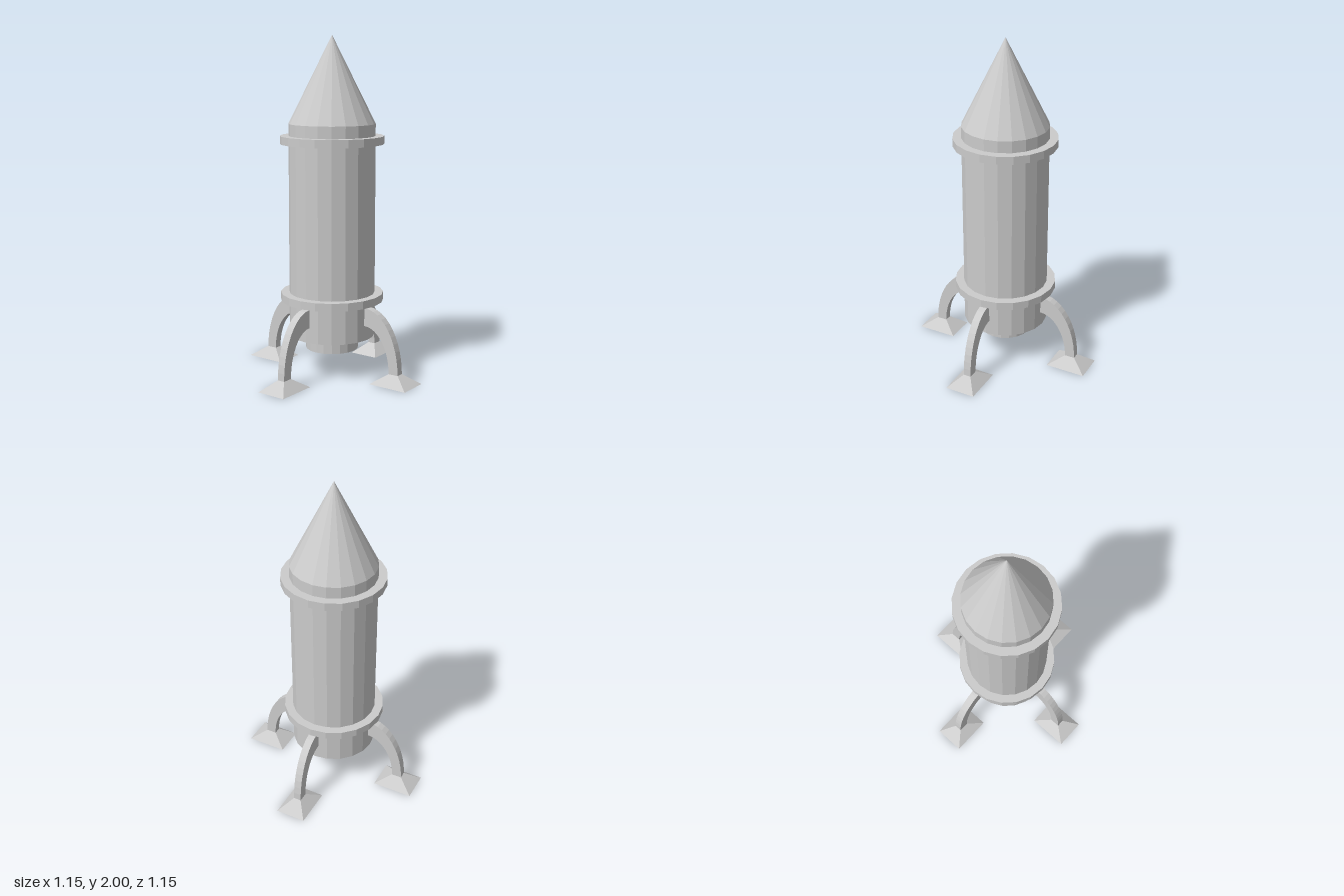
import * as THREE from 'three';

const SIDES = 20;
const material = new THREE.MeshStandardMaterial({ color: 0xcccccc, flatShading: true });

function addMesh(parent, name, geometry, y = 0) {
  const mesh = new THREE.Mesh(geometry, material);
  mesh.name = name;
  mesh.position.y = y;
  parent.add(mesh);
  return mesh;
}

// Upright drum between two heights
function addDrum(parent, name, radius, bottom, top) {
  return addMesh(parent, name,
    new THREE.CylinderGeometry(radius, radius, top - bottom, SIDES), (bottom + top) / 2);
}

// Arched strut: the band between two quarter ellipses, rooted inside the hull
function strutGeometry(width) {
  const cx = 0.255, base = 0.055, root = 0.235, steps = 12;
  const arc = (rx, ry) => Array.from({ length: steps + 1 }, (_, i) => {
    const a = (i / steps) * Math.PI / 2;
    return new THREE.Vector2(cx + rx * Math.sin(a), base + ry * Math.cos(a));
  });
  const outer = arc(0.231, 0.37);
  const inner = arc(0.17, 0.263).reverse();
  const shape = new THREE.Shape([
    new THREE.Vector2(root, outer[0].y), ...outer,
    ...inner, new THREE.Vector2(root, inner[steps].y),
  ]);
  return new THREE.ExtrudeGeometry(shape, { depth: width, bevelEnabled: false })
    .translate(0, 0, -width / 2);
}

// Foot pad: a box whose top is pulled in to the size of the strut
function footGeometry(width) {
  const height = 0.06;
  const geometry = new THREE.BoxGeometry(0.243, height, 0.182);
  const p = geometry.attributes.position;
  for (let i = 0; i < p.count; i++) {
    if (p.getY(i) > 0) {
      p.setX(i, Math.sign(p.getX(i)) * 0.031);
      p.setZ(i, Math.sign(p.getZ(i)) * width / 2);
    }
  }
  geometry.translate(0.456, height / 2, 0);
  geometry.computeVertexNormals();
  return geometry;
}

export function createModel() {
  const rocket = new THREE.Group();
  rocket.name = 'rocket';

  // Hull, nozzle and nose
  addDrum(rocket, 'hull', 0.255, 0.228, 1.49);
  addDrum(rocket, 'nozzle', 0.157, 0.143, 0.235);
  addMesh(rocket, 'noseCone', new THREE.ConeGeometry(0.255, 0.51, SIDES, 1, true), 1.745);

  // Flat collars around the hull
  addDrum(rocket, 'lowerCollar', 0.306, 0.44, 0.487);
  addDrum(rocket, 'upperCollar', 0.306, 1.373, 1.42);

  // Four landing legs
  const width = 0.046;
  const strut = strutGeometry(width);
  const foot = footGeometry(width);
  for (let i = 0; i < 4; i++) {
    const leg = new THREE.Group();
    leg.name = `landingLeg${i + 1}`;
    leg.rotation.y = i * Math.PI / 2;
    addMesh(leg, 'strut', strut);
    addMesh(leg, 'foot', foot);
    rocket.add(leg);
  }
  return rocket;
}
